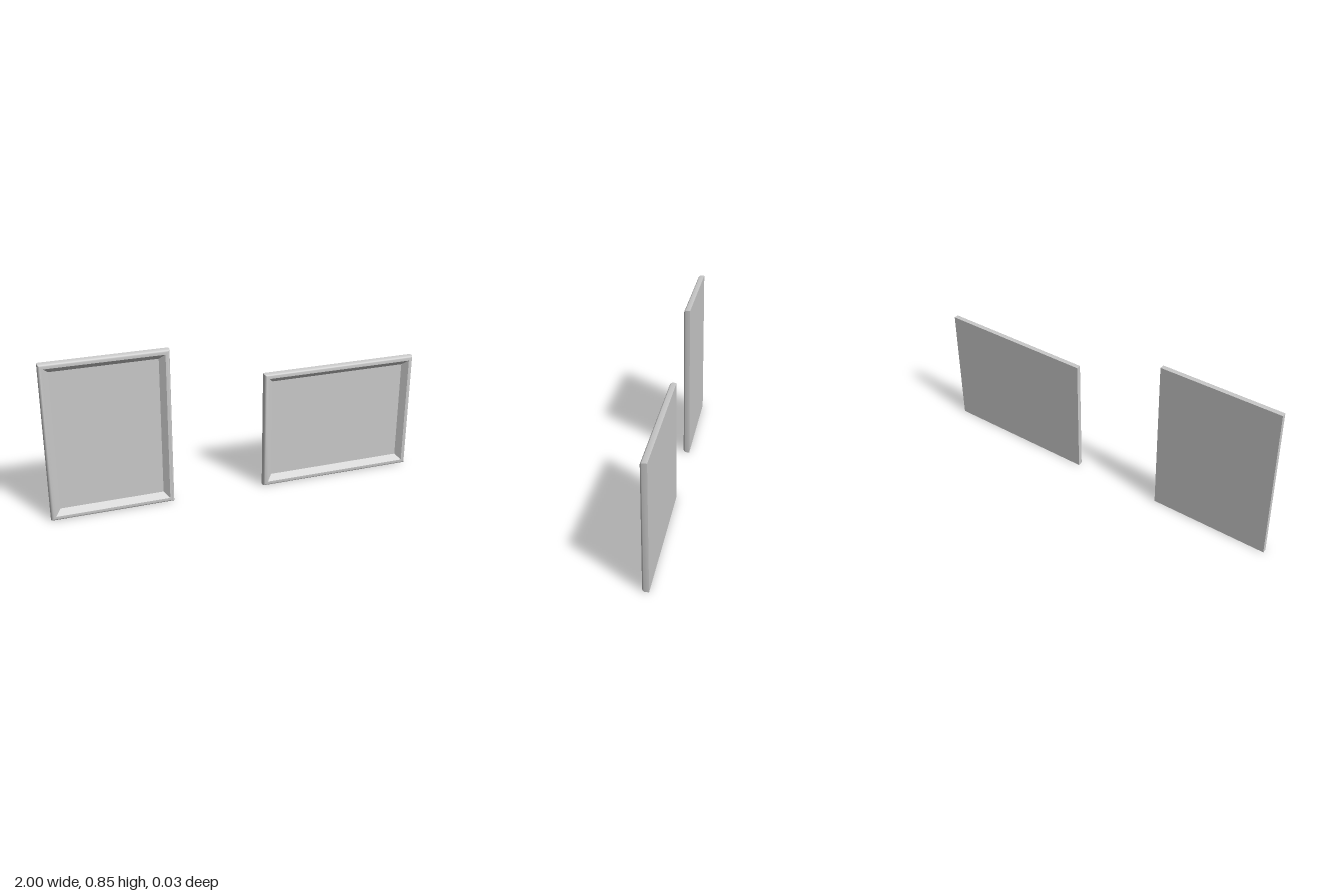
import * as THREE from 'three';
import { toCreasedNormals } from 'three/addons/utils/BufferGeometryUtils.js';

const BACK = -0.017, FRONT = 0.017, FLOOR = -0.012;
const RADIUS = 0.014, RIDGE = 0.024, INNER = 0.052;

// Moulding cross-section as [inset from outer edge, z], from back to recess
function mouldingProfile() {
  const points = [[INNER, BACK], [0, BACK]];
  const steps = 5;
  for (let i = 0; i <= steps; i++) {
    const a = (i / steps) * Math.PI / 2;
    points.push([RADIUS * (1 - Math.cos(a)), FRONT - RADIUS + RADIUS * Math.sin(a)]);
  }
  points.push([RIDGE, FRONT], [INNER, FLOOR]);
  return points;
}

// Sweeps the profile round a rectangle with mitred corners
function mouldingGeometry(width, height) {
  const rings = mouldingProfile().map(([inset, z]) => {
    const x = width / 2 - inset, y = height / 2 - inset;
    return [[-x, -y, z], [x, -y, z], [x, y, z], [-x, y, z]];
  });
  const positions = [];
  for (let i = 0; i < rings.length - 1; i++) {
    for (let s = 0; s < 4; s++) {
      const t = (s + 1) % 4;
      const a = rings[i][s], b = rings[i][t], c = rings[i + 1][t], d = rings[i + 1][s];
      positions.push(...a, ...b, ...c, ...a, ...c, ...d);
    }
  }
  const geometry = new THREE.BufferGeometry();
  geometry.setAttribute('position', new THREE.Float32BufferAttribute(positions, 3));
  return toCreasedNormals(geometry, Math.PI / 6);
}

function pictureFrame(name, left, right, height, material) {
  const width = right - left;
  const frame = new THREE.Group();
  frame.name = name;

  const moulding = new THREE.Mesh(mouldingGeometry(width, height), material);
  moulding.name = 'moulding';

  // Recessed panel, flush with the back
  const panel = new THREE.Mesh(
    new THREE.BoxGeometry(width - 2 * INNER, height - 2 * INNER, FLOOR - BACK), material);
  panel.name = 'picturePanel';
  panel.position.z = (FLOOR + BACK) / 2;

  frame.add(moulding, panel);
  frame.position.set((left + right) / 2, height / 2, 0);
  return frame;
}

export function createModel() {
  const material = new THREE.MeshStandardMaterial({ color: 0xcccccc });
  const model = new THREE.Group();
  model.name = 'pictureFrames';
  model.add(
    pictureFrame('portraitFrame', -1, -0.353, 0.853, material),
    pictureFrame('landscapeFrame', 0.147, 1, 0.65, material));
  return model;
}
